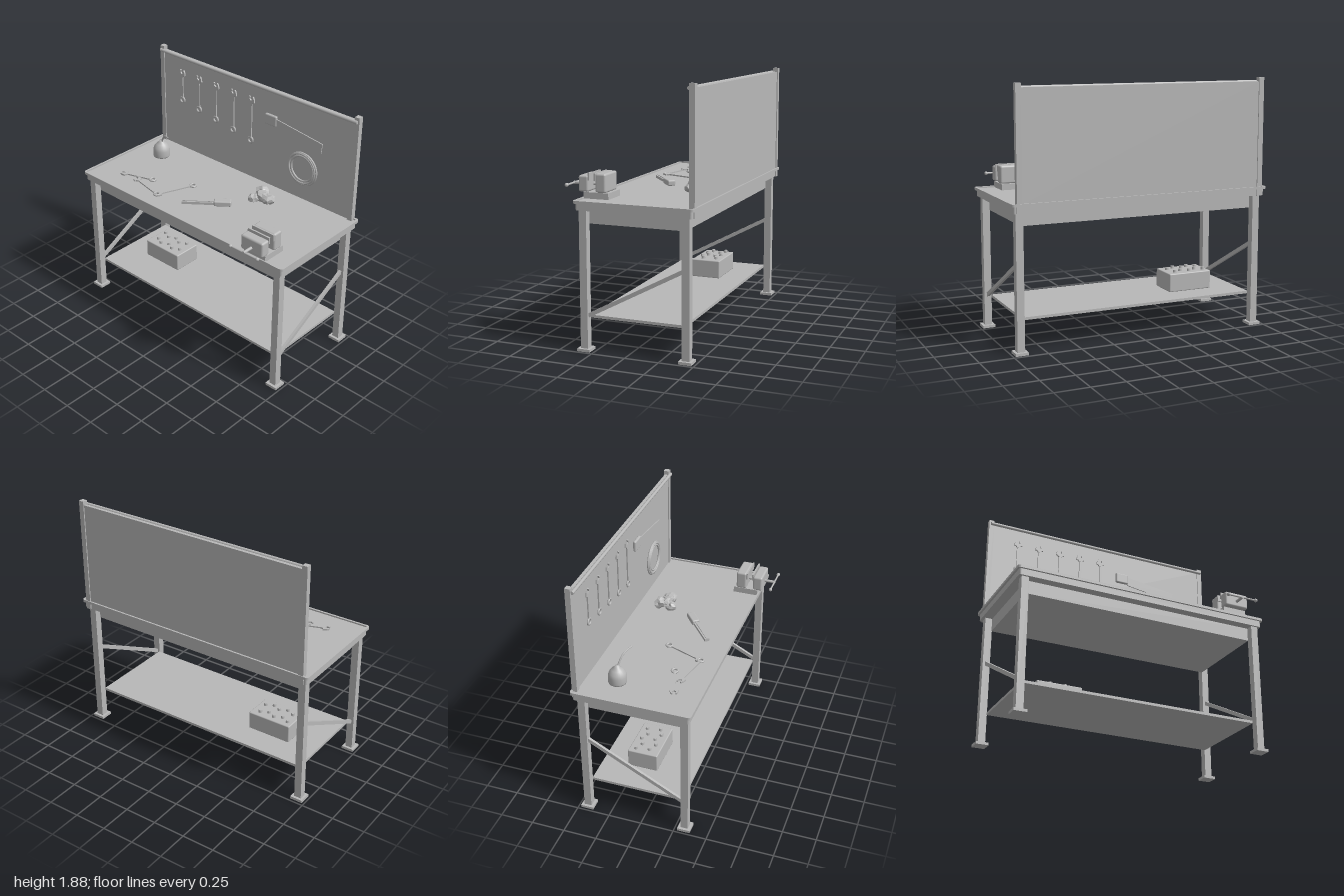
import * as THREE from 'three';
import { RoundedBoxGeometry } from 'three/addons/geometries/RoundedBoxGeometry.js';

export function createModel() {
  const model = new THREE.Group();
  model.name = 'workbench';
  const steel = new THREE.MeshStandardMaterial({ color: 0xb8b8b8 });
  steel.name = 'grey steel';

  const add = (name, geo, x = 0, y = 0, z = 0, parent = model) => {
    const m = new THREE.Mesh(geo, steel);
    m.name = name;
    m.position.set(x, y, z);
    parent.add(m);
    return m;
  };
  const group = (name, x = 0, y = 0, z = 0) => {
    const g = new THREE.Group();
    g.name = name;
    g.position.set(x, y, z);
    model.add(g);
    return g;
  };
  // Box given by its extents on each axis
  const slab = (name, x0, x1, y0, y1, z0, z1) =>
    add(name, new THREE.BoxGeometry(x1 - x0, y1 - y0, z1 - z0), (x0 + x1) / 2, (y0 + y1) / 2, (z0 + z1) / 2);
  const polygon = (pts) => new THREE.Shape(pts.map(([x, y]) => new THREE.Vector2(x, y)));
  const extrude = (shape, depth) =>
    new THREE.ExtrudeGeometry(shape, { depth, bevelEnabled: false, curveSegments: 6 }).translate(0, 0, -depth / 2);
  const roundRect = (w, h, r, Type = THREE.Shape) => {
    const s = new Type();
    const a = w / 2 - r, b = h / 2 - r;
    s.absarc(a, b, r, 0, Math.PI / 2);
    s.absarc(-a, b, r, Math.PI / 2, Math.PI);
    s.absarc(-a, -b, r, Math.PI, 1.5 * Math.PI);
    s.absarc(a, -b, r, 1.5 * Math.PI, 2 * Math.PI);
    s.closePath();
    return s;
  };

  // Top with a raised, slightly overhanging lip
  const top = extrude(roundRect(1.97, 0.85, 0.015), 0.057).rotateX(-Math.PI / 2);
  add('benchTop', top, 0, 1.0285, -0.06);
  const lip = roundRect(2, 0.88, 0.022);
  lip.holes.push(roundRect(1.968, 0.848, 0.012, THREE.Path));
  add('benchLip', extrude(lip, 0.02).rotateX(-Math.PI / 2), 0, 1.058, -0.06);
  slab('apron', -0.91, 0.91, 0.9, 1.0, -0.41, 0.295);
  slab('lowerShelf', -0.91, 0.91, 0.232, 0.252, -0.405, 0.295);

  // Legs, feet, braces and uprights
  for (const s of [-1, 1]) {
    for (const z of [0.322, -0.432]) {
      add('leg', new THREE.BoxGeometry(0.055, 0.98, 0.055), s * 0.935, 0.51, z);
      add('foot', new THREE.BoxGeometry(0.095, 0.02, 0.095), s * 0.935, 0.01, z);
    }
    const brace = add('sideBrace', new THREE.BoxGeometry(0.02, 0.028, 0.8), s * 0.935, 0.443, -0.055);
    brace.rotation.x = Math.atan2(0.375, 0.7);
    add('upright', new THREE.BoxGeometry(0.04, 0.88, 0.04), s * 0.942, 1.44, -0.475);
  }

  // Tool board with hanging rail
  slab('toolBoard', -0.925, 0.925, 1.06, 1.85, -0.487, -0.462);
  add('hangingRail', new THREE.CylinderGeometry(0.013, 0.013, 1.9, 10).rotateZ(Math.PI / 2), 0, 1.847, -0.448);

  // Wrench: ring at the origin, open jaw at the far end of +y
  const jawShape = polygon([[-0.033, -0.045], [-0.022, -0.045], [-0.01, -0.06], [0.01, -0.06], [0.022, -0.045],
    [0.033, -0.045], [0.027, -0.015], [0.018, 0], [0.009, -0.004], [0.014, -0.022], [0, -0.034],
    [-0.014, -0.022], [-0.009, -0.004], [-0.018, 0], [-0.027, -0.015]]);
  const wrench = (x, y, z, length) => {
    const g = group('wrench', x, y, z);
    add('wrenchRing', new THREE.TorusGeometry(0.022, 0.008, 8, 20), 0, 0, 0, g);
    add('wrenchShaft', new THREE.BoxGeometry(0.018, length - 0.075, 0.01), 0, 0.02 + (length - 0.075) / 2, 0, g);
    add('wrenchJaw', extrude(jawShape, 0.012), 0, length, 0, g);
    return g;
  };
  // Lays a tool that points along +y flat on the bench, pointing along (dx, dz)
  const layFlat = (g, dx, dz) => g.rotation.set(-Math.PI / 2, Math.atan2(-dx, -dz), 0, 'YXZ');

  for (let i = 0; i < 5; i++) {
    const y = 1.488 - i * 0.026;
    wrench(-0.717 + i * 0.179, y, -0.446, 1.745 - y);
  }
  for (const [x, z, hx, hz] of [[-0.516, 0.1, -0.775, 0.185], [-0.337, 0.233, -0.635, 0.17], [-0.225, -0.045, -0.34, 0.25]]) {
    layFlat(wrench(x, 1.065, z, Math.hypot(hx - x, hz - z)), hx - x, hz - z);
  }

  // Saw on the board
  const saw = group('saw', 0, 0, -0.446);
  add('sawHandle', new RoundedBoxGeometry(0.11, 0.085, 0.026, 2, 0.011), 0.195, 1.617, 0, saw);
  add('sawBlade', extrude(polygon([[0.245, 1.567], [0.665, 1.505], [0.672, 1.583], [0.245, 1.638]]), 0.008), 0, 0, 0, saw);

  // Coiled hose
  const coil = group('hoseCoil', 0.512, 1.328, -0.436);
  [[0.128, 0, 0, 0], [0.119, -0.003, 0.003, 0.006], [0.11, 0.003, -0.002, 0.002], [0.101, 0, 0.004, 0.005]].forEach(
    ([r, x, y, z]) => add('hoseLoop', new THREE.TorusGeometry(r, 0.008, 8, 40), x, y, z, coil));

  // Oil can with bent spout
  const can = group('oilCan', -0.757, 1.057, -0.238);
  const profile = [[0, 0], [0.064, 0], [0.067, 0.01], [0.067, 0.055], [0.06, 0.082], [0.042, 0.107], [0.022, 0.122],
    [0.014, 0.138], [0, 0.138]].map(([x, y]) => new THREE.Vector2(x, y));
  add('canBody', new THREE.LatheGeometry(profile, 24), 0, 0, 0, can);
  const spout = new THREE.CatmullRomCurve3([[0.008, 0.125, 0.003], [0.028, 0.16, 0.011], [0.055, 0.194, 0.022],
    [0.095, 0.215, 0.04], [0.138, 0.222, 0.058]].map((p) => new THREE.Vector3(...p)));
  add('canSpout', new THREE.TubeGeometry(spout, 16, 0.007, 8), 0, 0, 0, can);

  // Scraper lying on the bench
  const scraper = group('scraper', -0.1, 1.083, 0.205);
  add('scraperBlade', new THREE.BoxGeometry(0.038, 0.25, 0.02), 0, 0.125, 0, scraper);
  add('scraperRib', new THREE.BoxGeometry(0.014, 0.24, 0.03), 0, 0.125, 0, scraper);
  add('scraperHandle', new RoundedBoxGeometry(0.058, 0.13, 0.042, 2, 0.01), 0, 0.302, 0.004, scraper);
  layFlat(scraper, 0.29, -0.23);

  // Crumpled rag from a few faceted lumps
  const rag = group('rag', 0.3, 1.057, -0.245);
  [[-0.04, 0.04, -0.045, 0.055, 0.045, 0.045], [0.05, 0.03, 0.0, 0.055, 0.04, 0.05], [-0.045, 0.025, 0.045, 0.04, 0.035, 0.045],
    [0.0, 0.042, 0.005, 0.06, 0.043, 0.045]].forEach(([x, y, z, sx, sy, sz], n) => {
    const geo = new THREE.IcosahedronGeometry(1, 1);
    const p = geo.attributes.position;
    for (let i = 0; i < p.count; i++) {
      const a = p.getX(i), b = p.getY(i), c = p.getZ(i);
      const k = 1 + 0.25 * Math.sin(5 * a + 3 * b + n * 2) * Math.cos(4 * c - 2 * a + n);
      p.setXYZ(i, a * k * sx, Math.max(b * k * sy, -y), c * k * sz);
    }
    geo.computeVertexNormals();
    add('ragFold', geo, x, y, z, rag);
  });

  // Vise on the front edge
  const vise = group('vise', 0.752, 0, 0);
  add('viseBase', new THREE.BoxGeometry(0.19, 0.045, 0.19), 0, 1.082, 0.275, vise);
  add('rearJaw', new RoundedBoxGeometry(0.195, 0.135, 0.08, 3, 0.015), 0, 1.17, 0.24, vise);
  add('frontJaw', new RoundedBoxGeometry(0.195, 0.115, 0.075, 3, 0.015), 0, 1.162, 0.37, vise);
  add('rearJawPlate', new THREE.BoxGeometry(0.19, 0.05, 0.012), 0, 1.212, 0.284, vise);
  add('frontJawPlate', new THREE.BoxGeometry(0.19, 0.05, 0.012), 0, 1.212, 0.33, vise);
  add('viseScrew', new THREE.CylinderGeometry(0.011, 0.011, 0.27, 14).rotateX(Math.PI / 2), 0, 1.15, 0.355, vise);
  add('viseHandle', new THREE.CylinderGeometry(0.007, 0.007, 0.24, 10).rotateZ(Math.PI / 2), 0, 1.15, 0.484, vise);
  for (const s of [-1, 1]) add('handleKnob', new THREE.SphereGeometry(0.014, 12, 8), s * 0.12, 1.15, 0.484, vise);

  // Battery on the lower shelf
  const battery = group('battery', -0.52, 0.252, -0.095);
  add('batteryCase', new RoundedBoxGeometry(0.35, 0.14, 0.23, 2, 0.008), 0, 0.07, 0, battery);
  for (let i = 0; i < 5; i++) {
    for (const s of [-1, 1]) {
      const x = -0.125 + i * 0.06 + s * 0.008, z = s * 0.05 + (i % 2 ? 0.014 : -0.014);
      add('batteryCap', new THREE.CylinderGeometry(0.013, 0.015, 0.022, 12), x, 0.149, z, battery);
    }
  }
  return model;
}
